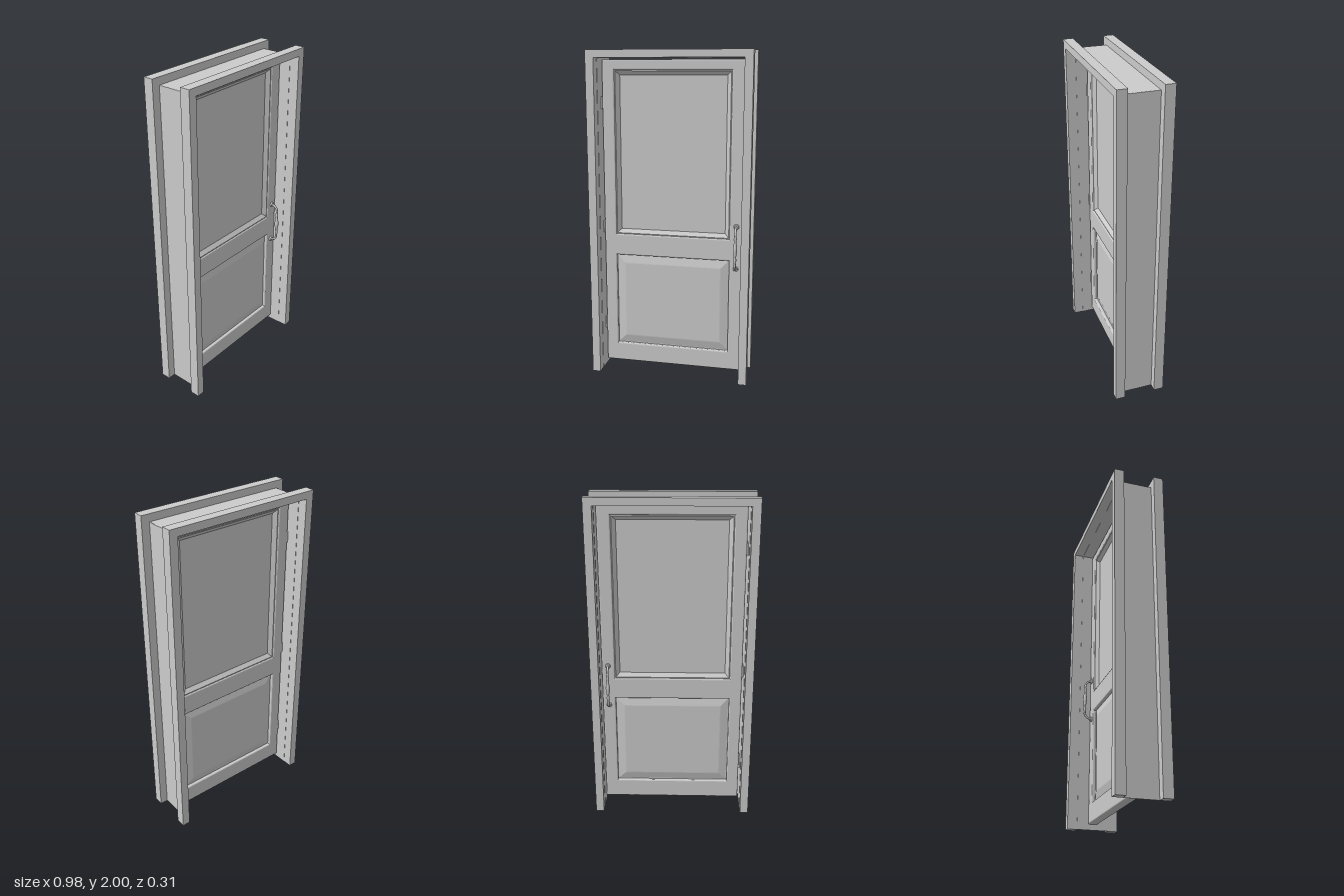
import * as THREE from 'three';

const material = new THREE.MeshStandardMaterial({ color: 0xcccccc });
const thin = new THREE.MeshStandardMaterial({ color: 0xcccccc, side: THREE.DoubleSide });

function add(parent, name, geometry, x = 0, y = 0, z = 0, mat = material) {
  const mesh = new THREE.Mesh(geometry, mat);
  mesh.name = name;
  mesh.position.set(x, y, z);
  parent.add(mesh);
  return mesh;
}

// Closed outline from corner points
function trace(target, points) {
  points.forEach(([x, y], i) => (i ? target.lineTo(x, y) : target.moveTo(x, y)));
  target.closePath();
  return target;
}

const rectangle = (x0, y0, x1, y1) => [[x0, y0], [x1, y0], [x1, y1], [x0, y1]];

// Mitred bands stepping inward from a rectangle; steps are [inset, z]
function mitredPanel(halfWidth, y0, y1, steps, closed) {
  const positions = [];
  const corners = steps.map(([inset, z]) =>
    rectangle(-halfWidth + inset, y0 + inset, halfWidth - inset, y1 - inset).map(([x, y]) => [x, y, z]));
  const quad = (a, b, c, d) => [a, b, c, a, c, d].forEach((p) => positions.push(...p));
  for (let s = 0; s < corners.length - 1; s++) {
    for (let i = 0; i < 4; i++) {
      const j = (i + 1) % 4;
      quad(corners[s][i], corners[s][j], corners[s + 1][j], corners[s + 1][i]);
    }
  }
  if (closed) quad(...corners[corners.length - 1]);
  const geometry = new THREE.BufferGeometry();
  geometry.setAttribute('position', new THREE.Float32BufferAttribute(positions, 3));
  geometry.computeVertexNormals();
  return geometry;
}

// Pull handle facing +z, with its base on z = 0
function makeHandle() {
  const handle = new THREE.Group();
  handle.name = 'handle';
  const profile = [[0, -0.1], [0.008, -0.098], [0.006, -0.085], [0.009, -0.07], [0.009, -0.06], [0.007, -0.045],
    [0.012, -0.015], [0.013, 0], [0.012, 0.015], [0.007, 0.045], [0.009, 0.06], [0.009, 0.07],
    [0.006, 0.085], [0.008, 0.098], [0, 0.1]];
  add(handle, 'grip', new THREE.LatheGeometry(profile.map(([r, y]) => new THREE.Vector2(r, y)), 16), 0, 0, 0.045);
  for (const s of [-1, 1]) {
    const neck = new THREE.CatmullRomCurve3([
      new THREE.Vector3(0, s * 0.09, 0.045),
      new THREE.Vector3(0, s * 0.11, 0.04),
      new THREE.Vector3(0, s * 0.127, 0.022),
      new THREE.Vector3(0, s * 0.13, 0),
    ]);
    add(handle, 'neck', new THREE.TubeGeometry(neck, 12, 0.007, 10));
    const plate = add(handle, 'mountingPlate', new THREE.CylinderGeometry(0.013, 0.017, 0.01, 20), 0, s * 0.132, 0.004);
    plate.rotation.x = Math.PI / 2;
  }
  return handle;
}

export function createModel() {
  const model = new THREE.Group();
  model.name = 'framedDoor';

  // Casing on both faces of the wall
  const casing = trace(new THREE.Shape(), [[-0.49, 0], [-0.44, 0], [-0.44, 1.955], [0.44, 1.955],
    [0.44, 0], [0.49, 0], [0.49, 2], [-0.49, 2]]);
  const casingGeometry = new THREE.ExtrudeGeometry(casing, { depth: 0.06, bevelEnabled: false });
  add(model, 'frontCasing', casingGeometry, 0, 0, 0.096);
  add(model, 'backCasing', casingGeometry, 0, 0, -0.158);

  // Thin jamb lining between the casings
  for (const s of [-1, 1]) {
    add(model, 'sideJamb', new THREE.BoxGeometry(0.003, 1.955, 0.194), s * 0.4395, 0.9775, -0.001);
  }
  add(model, 'headJamb', new THREE.BoxGeometry(0.88, 0.003, 0.194), 0, 1.9545, -0.001);

  // Door leaf: stiles and rails with two openings
  const door = new THREE.Group();
  door.name = 'door';
  model.add(door);
  const bevel = 0.008;
  const leaf = trace(new THREE.Shape(), rectangle(-0.43 + bevel, 0.035 + bevel, 0.435 - bevel, 1.945 - bevel));
  const openings = [[0.88, 1.885], [0.155, 0.745]];
  for (const [y0, y1] of openings) {
    leaf.holes.push(trace(new THREE.Path(), rectangle(-0.355 - bevel, y0 - bevel, 0.355 + bevel, y1 + bevel).reverse()));
  }
  const leafGeometry = new THREE.ExtrudeGeometry(leaf, {
    depth: 0.044, bevelEnabled: true, bevelSize: bevel, bevelThickness: bevel, bevelSegments: 3,
  });
  add(door, 'stilesAndRails', leafGeometry, 0, 0, -0.022);

  // Sloped glazing beads and raised panel, same on both sides
  for (const [name, turn] of [['front', 0], ['back', Math.PI]]) {
    const bead = add(door, name + 'GlazingBead',
      mitredPanel(0.356, ...openings[0], [[0, 0.022], [0.006, 0.023], [0.03, 0.003]], false), 0, 0, 0, thin);
    const panel = add(door, name + 'RaisedPanel',
      mitredPanel(0.356, ...openings[1], [[0, 0.01], [0.006, 0.01], [0.05, 0.021], [0.056, 0.022]], true));
    bead.rotation.y = panel.rotation.y = turn;
  }
  add(door, 'glass', new THREE.BoxGeometry(0.66, 0.955, 0.006), 0, 1.3825, 0);

  // Pull handles on both faces
  for (const s of [1, -1]) {
    const handle = makeHandle();
    handle.position.set(0.397, 0.83, s * 0.03);
    handle.rotation.y = s > 0 ? 0 : Math.PI;
    door.add(handle);
  }

  // Hinges on the right-hand edge
  for (const y of [1.69, 0.925, 0.29]) {
    const hinge = new THREE.Group();
    hinge.name = 'hinge';
    hinge.position.set(-0.435, y, 0);
    add(hinge, 'hingeLeaf', new THREE.BoxGeometry(0.012, 0.07, 0.05));
    add(hinge, 'hingePin', new THREE.CylinderGeometry(0.006, 0.006, 0.074, 12), 0, 0, 0.028);
    model.add(hinge);
  }

  return model;
}
